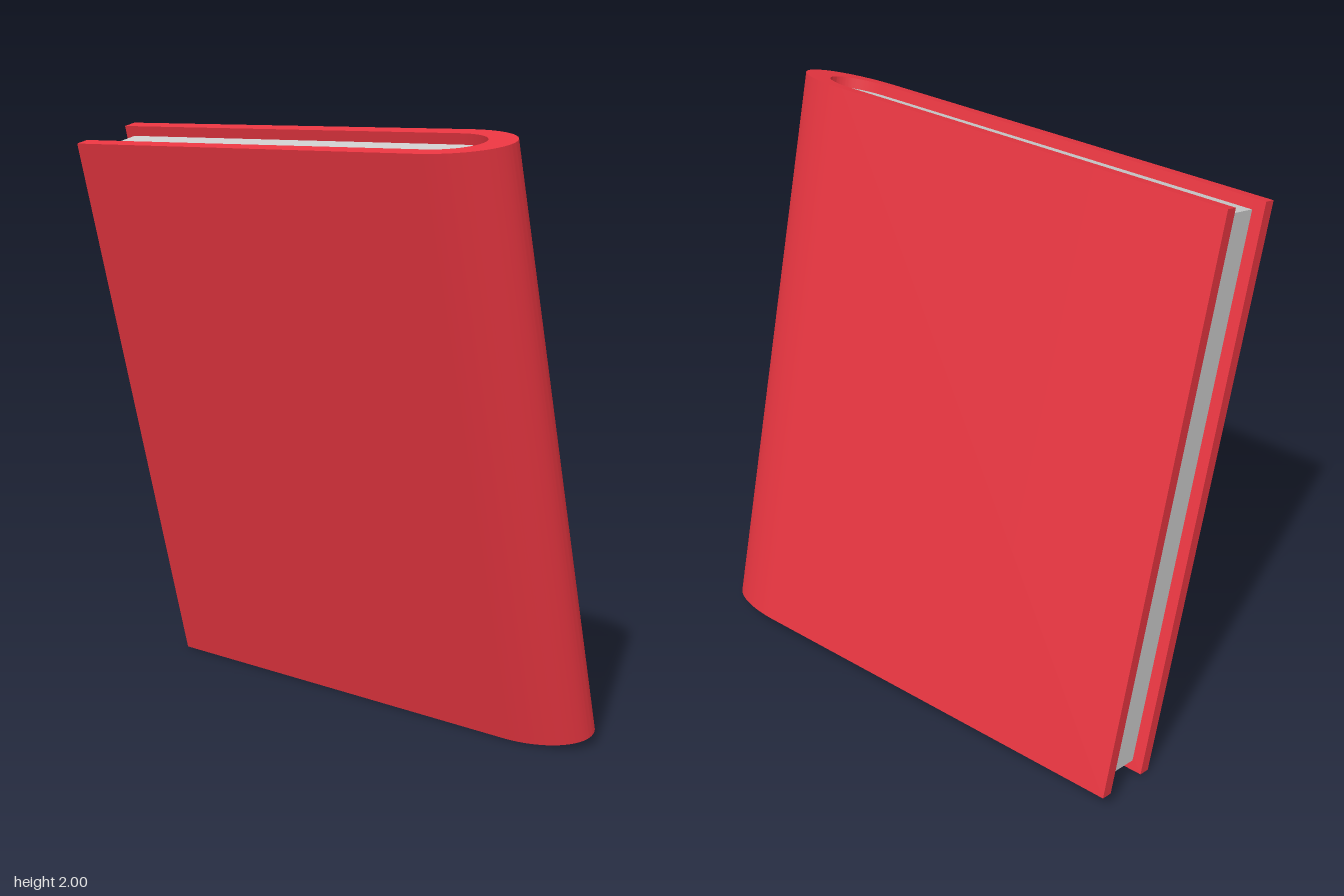
import * as THREE from 'three';
import { toCreasedNormals } from 'three/addons/utils/BufferGeometryUtils.js';

const LENGTH = 1.994;      // height of the cover along its own axis
const TILT = 0.2475;       // forward lean in radians
const SPINE_X = 0.62;      // where the flat boards turn into the spine

// Traces board, rounded spine and board; the boards spread a little to the open edge
function traceU(path, openX, openHalf, spineHalf, tipX, reverse = false) {
  const s = reverse ? 1 : -1;
  path.lineTo(openX, s * openHalf);
  path.lineTo(SPINE_X, s * spineHalf);
  path.absellipse(SPINE_X, 0, tipX - SPINE_X, spineHalf, s * Math.PI / 2, -s * Math.PI / 2, reverse, 0);
  path.lineTo(openX, -s * openHalf);
}

// Extrudes an outline upright, centred on the origin
function upright(shape, height) {
  const geo = new THREE.ExtrudeGeometry(shape, { depth: height, bevelEnabled: false, curveSegments: 32 });
  geo.translate(0, 0, -height / 2);
  geo.rotateX(-Math.PI / 2);
  return toCreasedNormals(geo, 0.5);
}

function part(name, geo, color) {
  const mesh = new THREE.Mesh(geo, new THREE.MeshStandardMaterial({ color }));
  mesh.name = name;
  return mesh;
}

export function createModel() {
  const model = new THREE.Group();
  model.name = 'book';

  // Cover: outer U out, inner U back
  const cover = new THREE.Shape();
  cover.moveTo(-0.88, -0.138);
  traceU(cover, -0.88, 0.138, 0.136, 0.88);
  traceU(cover, -0.88, 0.092, 0.089, 0.775, true);
  cover.closePath();
  model.add(part('cover', upright(cover, LENGTH), 0xe63540));

  // Page block, set back from the open edges of the cover
  const pages = new THREE.Shape();
  pages.moveTo(-0.84, -0.0915);
  traceU(pages, -0.84, 0.0915, 0.0885, 0.773);
  pages.closePath();
  model.add(part('pages', upright(pages, LENGTH - 0.07), 0xcccccc));

  // Lean the book forward, standing on its front lower edge
  model.rotation.x = TILT;
  model.position.y = 1;
  const root = new THREE.Group();
  root.name = 'leaningBook';
  root.add(model);
  return root;
}
